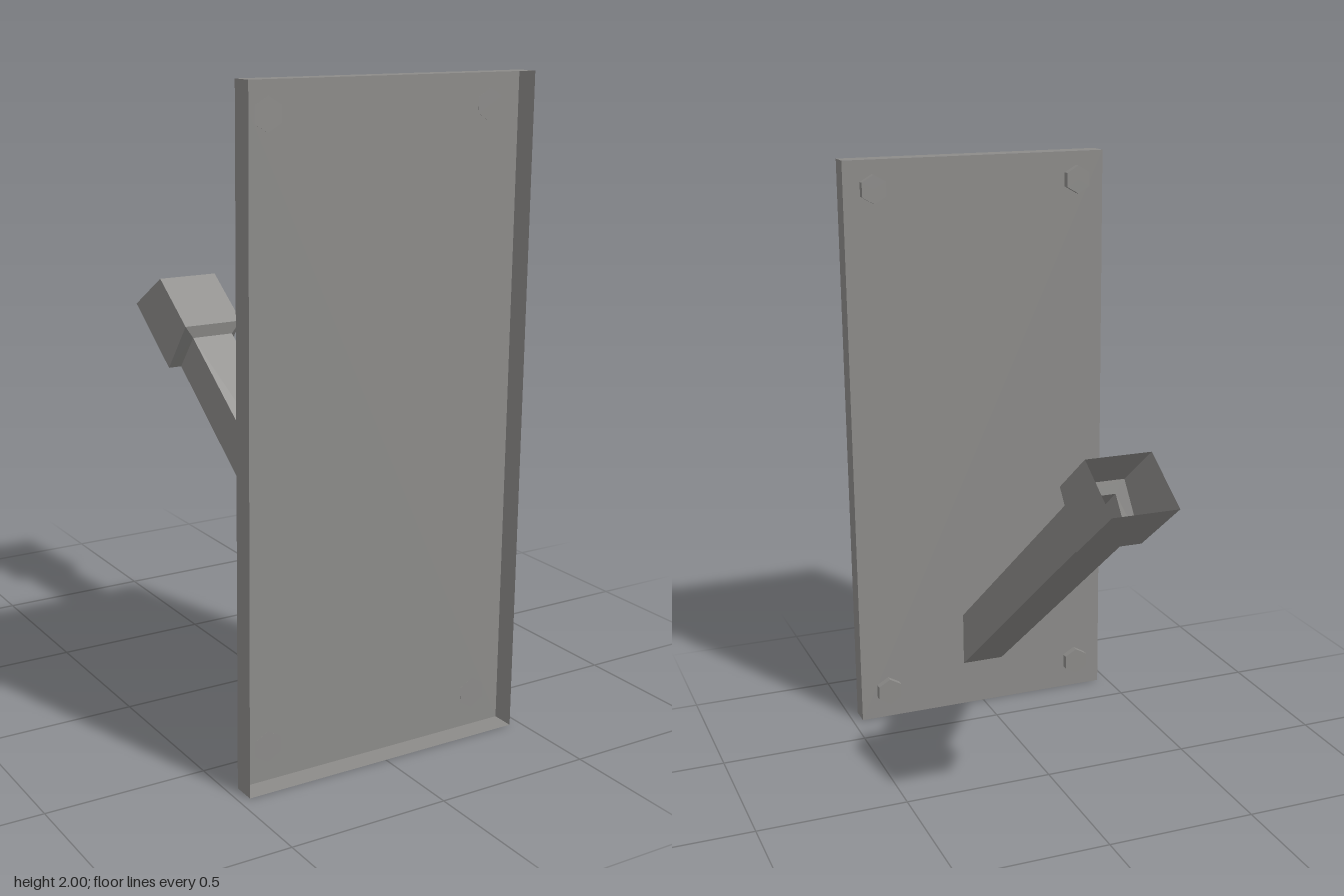
import * as THREE from 'three';

// Open four-sided tube through sections [zTop, yTop, zBottom, yBottom, halfWidth]
function squareTube(sections) {
  const rings = sections.map(([zt, yt, zb, yb, w]) => [
    [w, yt, zt], [-w, yt, zt], [-w, yb, zb], [w, yb, zb],
  ]);
  const pos = [];
  for (let s = 0; s < rings.length - 1; s++) {
    const a = rings[s], b = rings[s + 1];
    for (let i = 0; i < 4; i++) {
      const j = (i + 1) % 4;
      pos.push(...a[i], ...b[i], ...b[j], ...a[i], ...b[j], ...a[j]);
    }
  }
  const geo = new THREE.BufferGeometry();
  geo.setAttribute('position', new THREE.Float32BufferAttribute(pos, 3));
  geo.computeVertexNormals();
  return geo;
}

export function createModel() {
  const group = new THREE.Group();
  const steel = new THREE.MeshStandardMaterial({
    color: 0x8c8b89, flatShading: true, side: THREE.DoubleSide,
  });
  steel.name = 'grey steel';

  const add = (name, geo, x = 0, y = 0, z = 0) => {
    const mesh = new THREE.Mesh(geo, steel);
    mesh.name = name;
    mesh.position.set(x, y, z);
    group.add(mesh);
  };

  // Shallow plate, open at the front: drop the +z face
  const plate = new THREE.BoxGeometry(0.93, 2, 0.07);
  const index = Array.from(plate.index.array);
  index.splice(24, 6);
  plate.setIndex(index);
  plate.clearGroups();
  add('mountingPlate', plate, 0, 1, 0.678);

  // Hollow sloping arm
  const armBase = [0.643, 0.35, 0.643, 0.16, 0.074];
  const armEnd = [-0.348, 1.091, -0.438, 0.976, 0.074];
  add('arm', squareTube([armBase, armEnd]));

  // Wider sleeve with a short taper and a slanted open end
  add('sleeve', squareTube([
    armEnd,
    [-0.342, 1.133, -0.468, 0.968, 0.105],
    [-0.525, 1.267, -0.713, 1.15, 0.105],
  ]));

  // Hexagonal bolt heads on the rear of the plate
  const bolt = new THREE.CylinderGeometry(0.048, 0.048, 0.025, 6).rotateX(Math.PI / 2);
  for (const x of [-0.365, 0.365]) {
    for (const y of [0.105, 1.905]) add('boltHead', bolt, x, y, 0.631);
  }
  return group;
}
